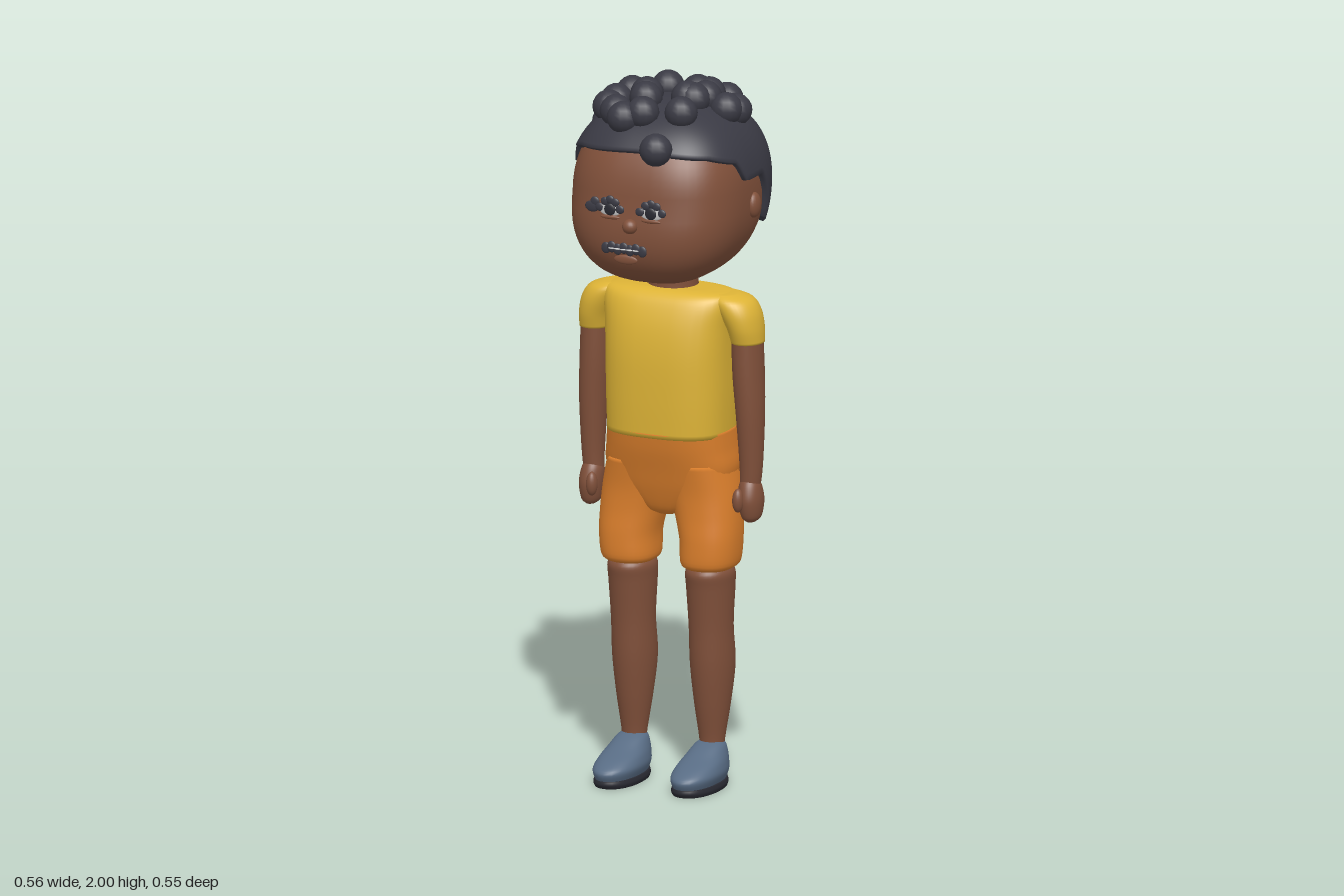
import * as THREE from 'three';

const paint = (name, color) => {
  const m = new THREE.MeshStandardMaterial({ color });
  m.name = name;
  return m;
};
const M = {
  skin: paint('brown skin', 0x80503a), hair: paint('charcoal hair', 0x3a3a44),
  shirt: paint('yellow shirt', 0xddb336), shorts: paint('orange shorts', 0xdb7f2c),
  shoe: paint('slate shoe', 0x586c84), sole: paint('dark sole', 0x292a32),
  white: paint('eye white', 0xc9c9c9),
};

// Closed-around surface from fn(angle, t): rows run upward, columns wrap
function surface(fn, cols, rows) {
  const pos = [], idx = [];
  for (let j = 0; j <= rows; j++) {
    for (let i = 0; i < cols; i++) pos.push(...fn((i / cols) * Math.PI * 2, j / rows));
  }
  for (let j = 0; j < rows; j++) {
    for (let i = 0; i < cols; i++) {
      const a = j * cols + i, b = j * cols + ((i + 1) % cols), c = a + cols, d = b + cols;
      idx.push(a, c, b, b, c, d);
    }
  }
  const g = new THREE.BufferGeometry();
  g.setAttribute('position', new THREE.Float32BufferAttribute(pos, 3));
  g.setIndex(idx);
  g.computeVertexNormals();
  return g;
}

const spow = (v, p) => Math.sign(v) * Math.pow(Math.abs(v), p);

// Smooth loft through [y, centreX, radiusX, zFront, zBack], bottom to top, closed at the ends
function loft(sections, exponent = 2, step = 5) {
  const n = sections.length - 1;
  const at = (t) => {
    const k = Math.min(Math.floor(t * n), n - 1), f = t * n - k;
    const s = [-1, 0, 1, 2].map((o) => sections[Math.min(Math.max(k + o, 0), n)]);
    return s[1].map((p, c) => {
      const m0 = (s[2][c] - s[0][c]) / 2, m1 = (s[3][c] - p) / 2, d = s[2][c] - p;
      return p + f * (m0 + f * (3 * d - 2 * m0 - m1 + f * (m0 + m1 - 2 * d)));
    });
  };
  const rows = n * step + 2;
  return surface((a, t) => {
    const j = Math.round(t * rows), end = j === 0 || j === rows ? 0.001 : 1;
    const [y, cx, rx, zf, zb] = at(Math.min(Math.max((j - 1) / (rows - 2), 0), 1));
    return [cx + end * rx * spow(Math.cos(a), 2 / exponent), y,
      (zf + zb) / 2 + end * ((zf - zb) / 2) * spow(Math.sin(a), 2 / exponent)];
  }, 36, rows);
}

// Head: a sheared rounded block, shared by skull, hair and face placement
const H = { y: 1.685, rx: 0.25, ry: 0.245, rz: 0.248, ev: 2.4, eh: 2.7 };
const shear = (y) => -0.005 - (y < H.y ? 0.22 : 0.08) * (y - H.y);
function headPoint(a, phi, off = 0) {
  const c = Math.pow(Math.max(Math.cos(phi), 0), 2 / H.ev) + 1e-4;
  const y = H.y + (H.ry + off) * spow(Math.sin(phi), 2 / H.ev);
  return [(H.rx + off) * c * spow(Math.cos(a), 2 / H.eh), y,
    shear(y) + (H.rz + off) * c * spow(Math.sin(a), 2 / H.eh)];
}
function faceZ(x, y) {
  const s = Math.pow(1 - Math.pow(Math.abs(y - H.y) / H.ry, H.ev), 1 / H.ev);
  return shear(y) + H.rz * s * Math.pow(1 - Math.pow(Math.abs(x) / (H.rx * s), H.eh), 1 / H.eh);
}
function crownY(x, z) {
  const r = Math.pow(Math.pow(Math.abs(x) / (H.rx + 0.016), H.eh)
    + Math.pow(Math.abs(z + 0.02) / (H.rz + 0.016), H.eh), 1 / H.eh);
  return H.y + (H.ry + 0.016) * Math.pow(Math.max(1 - Math.pow(r, H.ev), 0), 1 / H.ev);
}

// Hairline height by degrees from the front
const hairline = [[0, 1.84], [50, 1.825], [76, 1.8], [83, 1.745], [96, 1.745],
  [102, 1.69], [110, 1.605], [125, 1.58], [181, 1.58]];
function hairlineY(a) {
  const d = THREE.MathUtils.radToDeg(Math.acos(THREE.MathUtils.clamp(Math.sin(a), -1, 1)));
  const k = hairline.findIndex((p) => p[0] > d);
  const [d0, y0] = hairline[k - 1], [d1, y1] = hairline[k];
  return THREE.MathUtils.lerp(y0, y1, (d - d0) / (d1 - d0));
}

export function createModel() {
  const root = new THREE.Group();
  root.name = 'child';
  const add = (name, geo, mat, parent = root) => {
    const m = new THREE.Mesh(geo, mat);
    m.name = name;
    parent.add(m);
    return m;
  };
  const ball = (name, mat, [x, y, z], [sx, sy, sz], parent = root) => {
    const m = add(name, new THREE.SphereGeometry(1, 20, 14), mat, parent);
    m.position.set(x, y, z);
    m.scale.set(sx, sy, sz);
    return m;
  };

  // Head, neck, ears and nose
  const head = new THREE.Group();
  head.name = 'head';
  root.add(head);
  add('skull', surface((a, t) => headPoint(a, (t - 0.5) * Math.PI), 56, 36), M.skin, head);
  add('neck', loft([[1.36, 0, 0.075, 0.04, -0.11], [1.42, 0, 0.07, 0.035, -0.1],
    [1.5, 0, 0.07, 0.04, -0.1]]), M.skin);
  for (const s of [-1, 1]) ball('ear', M.skin, [s * 0.25, 1.66, -0.022], [0.018, 0.036, 0.027], head);
  ball('nose', M.skin, [0, 1.635, 0.252], [0.022, 0.021, 0.021], head);

  // Hair cap with a rolled-in rim
  add('hairCap', surface((a, t) => {
    const v = (hairlineY(a) - H.y) / (H.ry + 0.016);
    const start = Math.asin(spow(v, H.ev / 2));
    const k = Math.max((t * 26 - 2) / 24, 0);
    const off = t < 0.5 / 26 ? -0.01 : t < 1.5 / 26 ? 0.008 : 0.016;
    return headPoint(a, start + (Math.PI / 2 - start) * k, off);
  }, 144, 26), M.hair, head);

  // Curls scattered over the crown, [x, z]
  const curls = [[-0.083, -0.195], [0.005, -0.2], [0.09, -0.19], [-0.04, -0.085],
    [0.055, -0.075], [0.085, -0.085], [0.095, -0.04], [0.06, 0.005], [0.08, 0.005],
    [0.172, -0.07], [0.16, -0.035], [-0.13, -0.045], [-0.145, 0.025], [-0.148, 0.07],
    [-0.06, 0.01], [-0.045, 0.05], [-0.105, 0.115], [-0.07, 0.145], [-0.02, 0.125], [0.085, 0.1]]
    .map(([x, z]) => [x, crownY(x, z) + 0.01, z]);
  curls.push([0.06, 1.85, 0.212], [-0.235, 1.825, -0.116], [-0.09, 1.825, -0.232]);
  for (const [x, y, z] of curls) {
    add('curl', new THREE.SphereGeometry(0.046, 14, 10), M.hair, head).position.set(x, y, z);
  }

  // Eyes: thin whites, pupils and scalloped lids
  const plate = (name, mat, x, y, w, h, lift) =>
    ball(name, mat, [x, y, faceZ(x, y) + lift], [w, h, 0.005], head);
  for (const s of [-1, 1]) {
    const x = s * 0.062;
    plate('eyeWhite', M.white, x, 1.677, 0.036, 0.02, 0.003);
    plate('pupil', M.sole, x, 1.677, 0.017, 0.017, 0.008);
    for (let i = -2; i <= 2; i++) {
      plate('eyelid', M.hair, x + i * 0.016, 1.704 - 0.006 * i * i, 0.013, 0.012, 0.009);
    }
    plate('lowerLid', M.skin, x, 1.655, 0.03, 0.006, 0.002);
  }
  plate('outerLash', M.hair, -0.12, 1.678, 0.022, 0.016, 0.008);
  plate('outerLash', M.hair, -0.112, 1.692, 0.014, 0.014, 0.008);

  // Mouth: dark scalloped band with a pale line, and a lip
  for (let i = 0; i < 7; i++) {
    const x = -0.072 + i * 0.0185;
    plate('mouthBand', M.hair, x, 1.568 + (i % 2) * 0.005, 0.014, 0.016, 0.007);
  }
  for (let i = 0; i < 5; i++) plate('teeth', M.white, -0.053 + i * 0.0185, 1.57, 0.01, 0.0025, 0.011);
  plate('lowerLip', M.skin, -0.015, 1.538, 0.036, 0.013, 0.005);

  // Shirt body
  add('shirt', loft([[1.0, 0, 0.175, 0.118, -0.165], [1.1, 0, 0.178, 0.121, -0.167],
    [1.22, 0, 0.18, 0.12, -0.165], [1.31, 0, 0.184, 0.108, -0.152],
    [1.375, 0, 0.192, 0.085, -0.125], [1.402, 0, 0.182, 0.06, -0.1],
    [1.41, 0, 0.12, 0.035, -0.08]], 2.7), M.shirt);

  // Shorts seat
  add('shortsSeat', loft([[0.765, 0, 0.03, 0.03, -0.07], [0.785, 0, 0.09, 0.05, -0.1],
    [0.84, 0, 0.165, 0.072, -0.133], [0.9, 0, 0.188, 0.09, -0.155],
    [0.96, 0, 0.182, 0.108, -0.166], [1.012, 0, 0.176, 0.119, -0.166]], 2.6), M.shorts);

  // Limbs, mirrored left and right
  for (const s of [-1, 1]) {
    const limb = (name, rows, mat, e) =>
      add(name, loft(rows.map(([y, x, ...r]) => [y, s * x, ...r]), e), mat);

    limb('sleeve', [[1.268, 0.23, 0.045, 0.03, -0.08], [1.31, 0.224, 0.05, 0.042, -0.088],
      [1.355, 0.207, 0.058, 0.048, -0.092], [1.388, 0.185, 0.058, 0.042, -0.085],
      [1.404, 0.165, 0.035, 0.02, -0.06]], M.shirt);
    limb('arm', [[0.85, 0.237, 0.028, 0.005, -0.052], [0.92, 0.24, 0.032, 0.01, -0.06],
      [1.06, 0.238, 0.039, 0.022, -0.07], [1.18, 0.232, 0.043, 0.028, -0.078],
      [1.3, 0.228, 0.042, 0.028, -0.076]], M.skin);
    limb('hand', [[0.76, 0.243, 0.012, 0, -0.035], [0.775, 0.243, 0.027, 0.015, -0.055],
      [0.82, 0.242, 0.034, 0.024, -0.066], [0.86, 0.239, 0.031, 0.015, -0.058],
      [0.885, 0.238, 0.02, 0, -0.045]], M.skin);
    ball('thumb', M.skin, [s * 0.222, 0.825, 0.023], [0.016, 0.034, 0.018]);

    limb('shortsLeg', [[0.618, 0.118, 0.062, 0.055, -0.085], [0.635, 0.12, 0.079, 0.072, -0.108],
      [0.7, 0.122, 0.084, 0.074, -0.112], [0.77, 0.113, 0.092, 0.07, -0.118],
      [0.84, 0.1, 0.098, 0.072, -0.13], [0.92, 0.09, 0.09, 0.085, -0.145]], M.shorts, 2.3);
    limb('lowerLeg', [[0.09, 0.118, 0.034, 0.005, -0.065], [0.13, 0.118, 0.036, 0.005, -0.07],
      [0.23, 0.118, 0.05, 0.022, -0.092], [0.34, 0.118, 0.061, 0.036, -0.108],
      [0.45, 0.118, 0.061, 0.042, -0.093], [0.56, 0.118, 0.066, 0.054, -0.1],
      [0.605, 0.118, 0.067, 0.06, -0.1], [0.625, 0.118, 0.055, 0.045, -0.085]], M.skin);

    limb('shoe', [[0.018, 0.118, 0.054, 0.168, -0.07], [0.045, 0.118, 0.064, 0.176, -0.077],
      [0.068, 0.118, 0.061, 0.14, -0.076], [0.09, 0.118, 0.053, 0.078, -0.072],
      [0.112, 0.118, 0.042, 0.03, -0.067], [0.122, 0.118, 0.03, 0.005, -0.055]], M.shoe, 2.2);
    limb('sole', [[0, 0.118, 0.06, 0.165, -0.07], [0.011, 0.118, 0.063, 0.172, -0.074],
      [0.022, 0.118, 0.06, 0.17, -0.072]], M.sole, 2.2);
  }
  return root;
}
